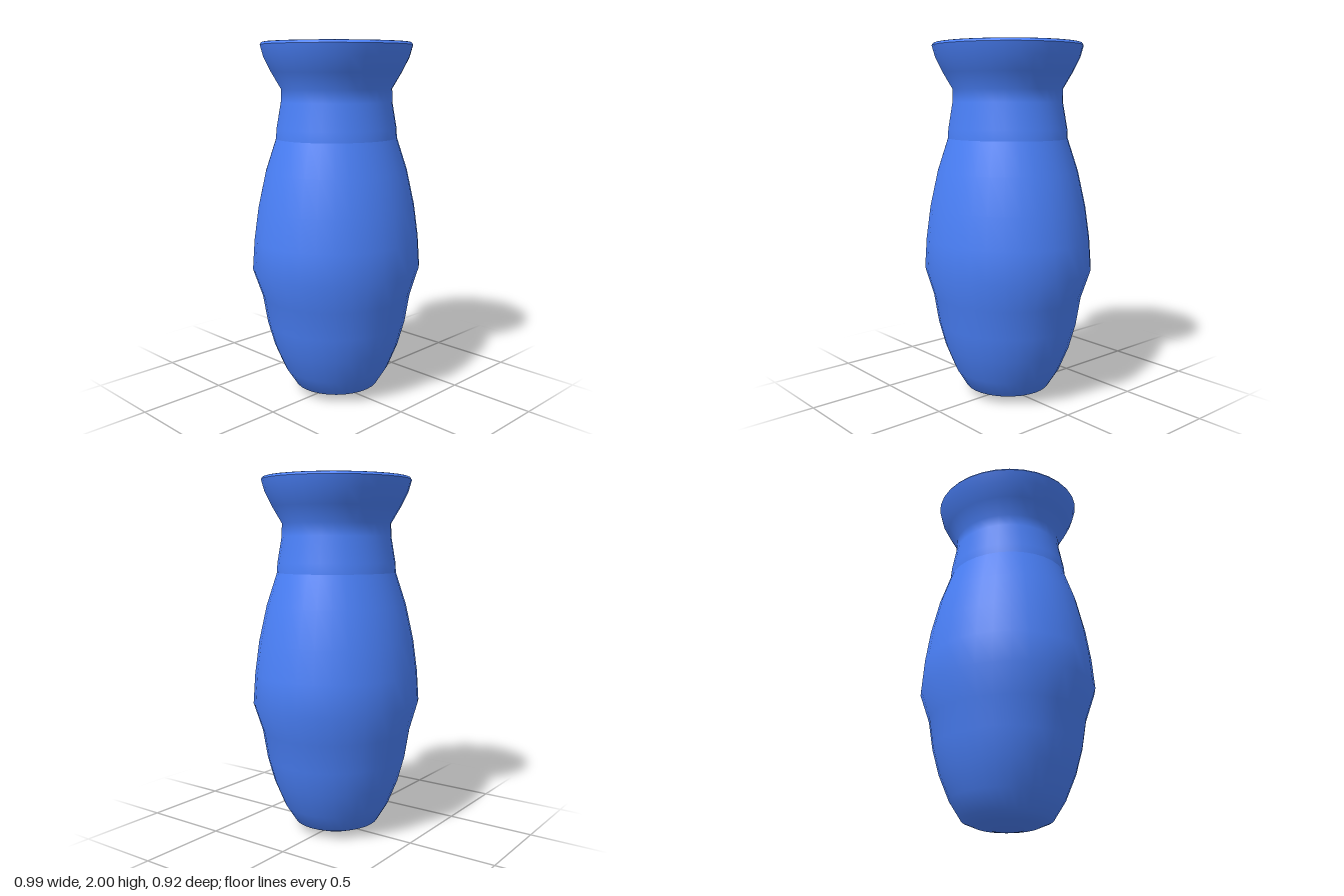
import * as THREE from 'three';
import { mergeVertices } from 'three/addons/utils/BufferGeometryUtils.js';

const SIDES = 32;
const glaze = new THREE.MeshStandardMaterial({ color: 0x4a80f8 });

// Oval lathe: each ring is [height, half width, half depth]
function ovalLathe(name, rings) {
  const points = rings.map(([y, rx]) => new THREE.Vector2(rx, y));
  let geometry = new THREE.LatheGeometry(points, SIDES);
  const pos = geometry.attributes.position;
  for (let i = 0; i < pos.count; i++) {
    const [, rx, rz] = rings[i % rings.length];
    if (rx > 0) pos.setZ(i, pos.getZ(i) * rz / rx);
  }
  // weld the seam so the shading is smooth all round
  geometry.deleteAttribute('uv');
  geometry.deleteAttribute('normal');
  geometry = mergeVertices(geometry, 1e-4);
  geometry.computeVertexNormals();
  const mesh = new THREE.Mesh(geometry, glaze);
  mesh.name = name;
  return mesh;
}

export function createModel() {
  const vase = new THREE.Group();
  vase.name = 'vase';

  // rounded foot and swelling belly, up to the shoulder
  vase.add(ovalLathe('body', [
    [0, 0, 0], [0.005, 0.09, 0.09], [0.02, 0.175, 0.17], [0.05, 0.245, 0.24],
    [0.15, 0.31, 0.3], [0.29, 0.37, 0.355], [0.43, 0.41, 0.392], [0.59, 0.437, 0.417],
    [0.75, 0.496, 0.46], [0.92, 0.482, 0.45], [1.1, 0.455, 0.427],
    [1.3, 0.41, 0.383], [1.48, 0.35, 0.325],
  ]));

  // collar, waist and flared mouth
  vase.add(ovalLathe('neck', [
    [1.48, 0.35, 0.325], [1.535, 0.346, 0.322], [1.68, 0.318, 0.299], [1.75, 0.317, 0.297],
    [1.84, 0.37, 0.35], [1.92, 0.41, 0.39], [1.985, 0.426, 0.41],
  ]));

  // rounded lip
  vase.add(ovalLathe('lip', [
    [1.985, 0.426, 0.41], [1.997, 0.418, 0.402], [2, 0.408, 0.393], [1.99, 0.393, 0.379],
  ]));

  // hollow, narrowing to the floor
  vase.add(ovalLathe('innerWall', [
    [1.99, 0.393, 0.379], [1.92, 0.375, 0.357], [1.84, 0.335, 0.318], [1.75, 0.292, 0.276],
    [1.6, 0.288, 0.272], [1.1, 0.265, 0.255], [0.6, 0.225, 0.222], [0.12, 0.135, 0.135],
  ]));
  vase.add(ovalLathe('innerFloor', [
    [0.12, 0.135, 0.135], [0.09, 0.07, 0.07], [0.08, 0, 0],
  ]));

  return vase;
}
